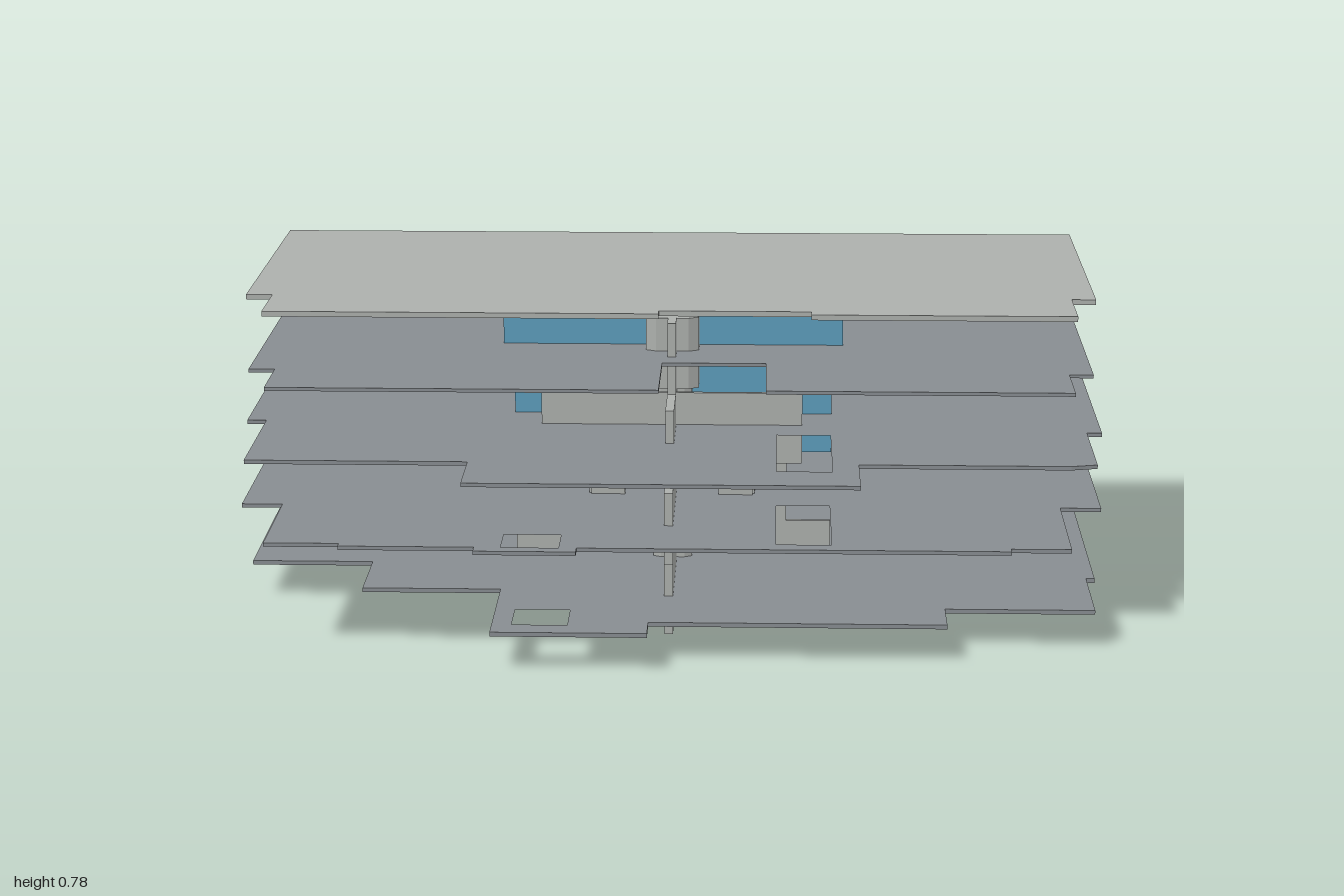
import * as THREE from 'three';

const material = (name, color) => {
  const m = new THREE.MeshStandardMaterial({ color });
  m.name = name;
  return m;
};

export function createModel() {
  const model = new THREE.Group();
  model.name = 'floorPlateBuilding';
  const wallGrey = material('wallGrey', 0xadb0ad);
  const slabGrey = material('slabGrey', 0x888d91);
  const glassBlue = material('glassBlue', 0x5d9dbb);

  const add = (name, geometry, mat, parent = model) => {
    const mesh = new THREE.Mesh(geometry, mat);
    mesh.name = name;
    parent.add(mesh);
    return mesh;
  };

  // Box given by its limits on each axis
  const block = (name, x0, x1, y0, y1, z0, z1, mat, parent) =>
    add(name, new THREE.BoxGeometry(x1 - x0, y1 - y0, z1 - z0), mat, parent)
      .position.set((x0 + x1) / 2, (y0 + y1) / 2, (z0 + z1) / 2);

  // Horizontal plate from an [x, z] outline with rectangular openings
  const toPoints = (list) => list.map(([x, z]) => new THREE.Vector2(x, -z));
  const plate = (name, y, depth, outline, openings, mat) => {
    const shape = new THREE.Shape(toPoints(outline));
    for (const [x0, x1, z0, z1] of openings)
      shape.holes.push(new THREE.Path(toPoints([[x0, z0], [x1, z0], [x1, z1], [x0, z1]])));
    const geometry = new THREE.ExtrudeGeometry(shape, { depth, bevelEnabled: false });
    geometry.rotateX(-Math.PI / 2);
    add(name, geometry, mat).position.y = y;
  };

  // Floor plates, from the lowest up
  const stairOpening = [0.245, 0.37, 0.2, 0.51];
  plate('firstFloorSlab', 0.082, 0.01, [
    [-0.995, -0.635], [0.99, -0.635], [0.99, 0.2], [0.97, 0.2], [0.97, 0.44], [0.63, 0.44],
    [0.63, 0.555], [-0.04, 0.555], [-0.04, 0.635], [-0.39, 0.635], [-0.39, 0.32],
    [-0.71, 0.32], [-0.71, 0.115], [-0.995, 0.115],
  ], [[-0.345, -0.22, 0.47, 0.58]], slabGrey);

  plate('secondFloorSlab', 0.254, 0.009, [
    [-0.98, -0.53], [-0.96, -0.53], [-0.96, -0.575], [-0.91, -0.575], [-0.91, -0.53],
    [-0.48, -0.53], [-0.48, -0.58], [-0.4, -0.58], [-0.4, -0.53],
    [0.4, -0.53], [0.4, -0.58], [0.48, -0.58], [0.48, -0.53],
    [0.91, -0.53], [0.91, -0.575], [0.96, -0.575], [0.96, -0.53], [0.98, -0.53],
    [0.98, -0.37], [1, -0.37], [1, 0.2], [0.905, 0.2], [0.905, 0.53], [0.77, 0.53],
    [0.77, 0.55], [-0.2, 0.55], [-0.2, 0.58], [-0.43, 0.58], [-0.43, 0.55], [-0.735, 0.55],
    [-0.735, 0.53], [-0.905, 0.53], [-0.905, 0.22], [-1, 0.22], [-1, -0.37], [-0.98, -0.37],
  ], [stairOpening, [-0.37, -0.24, 0.45, 0.55]], slabGrey);

  plate('thirdFloorSlab', 0.424, 0.009, [
    [-1, -0.545], [-0.475, -0.545], [-0.475, -0.565], [-0.46, -0.565], [-0.46, -0.625],
    [-0.43, -0.625], [-0.43, -0.565], [-0.39, -0.565], [-0.36, -0.545],
    [0.34, -0.545], [0.36, -0.565], [0.41, -0.565], [0.41, -0.625], [0.44, -0.625],
    [0.44, -0.565], [0.47, -0.565], [0.47, -0.545], [1, -0.545], [1, 0.16], [0.965, 0.16],
    [0.965, 0.435], [0.905, 0.45], [0.43, 0.45], [0.43, 0.625], [-0.45, 0.625],
    [-0.45, 0.45], [-0.955, 0.45], [-0.955, 0.1], [-1, 0.1],
  ], [stairOpening], slabGrey);

  const backHalf = [[-0.905, 0.445], [-0.905, 0.275], [-0.965, 0.275], [-0.965, -0.45],
    [0.965, -0.45], [0.965, 0.275], [0.91, 0.275], [0.91, 0.445]];
  plate('fourthFloorSlab', 0.593, 0.008,
    [...backHalf, [0.22, 0.445], [0.22, 0.19], [-0.02, 0.19], [-0.02, 0.445]], [], slabGrey);
  plate('roofSlab', 0.764, 0.012,
    [...backHalf, [0.32, 0.445], [0.32, 0.415], [-0.02, 0.415], [-0.02, 0.445]], [], wallGrey);

  // Cross-shaped walls around an eight-sided core on every level
  const levels = [
    { x: 0.375, front: 0.36, back: 0.36, mat: wallGrey, core: 1 },
    { x: 0.27, front: 0.37, back: 0.335, mat: wallGrey, core: 1 },
    { x: 0.375, front: 0.28, back: 0.27, mat: glassBlue, core: 1 },
    { x: 0.4, front: 0.13, back: 0.13, mat: glassBlue, core: 1.35 },
  ];
  levels.forEach(({ x, front, back, mat, core }, i) => {
    const group = new THREE.Group();
    group.name = `coreWallsLevel${i + 1}`;
    model.add(group);
    const y0 = i * 0.17, y1 = y0 + 0.17, a = 0.045 * core, b = 0.05 * core;
    block('leftWall', a, x, y0, y1, -0.005, 0.005, mat, group);
    block('rightWall', -x, -a, y0, y1, -0.005, 0.005, mat, group);
    block('frontWall', -0.01, 0.01, y0, y1, b, front, wallGrey, group);
    block('backWall', -0.01, 0.01, y0, y1, -back, -b, wallGrey, group);
    const ring = [[0.028, 0.055], [0.046, 0.045], [0.046, -0.045], [0.028, -0.055],
      [-0.028, -0.055], [-0.046, -0.045], [-0.046, 0.045], [-0.028, 0.055]];
    const shape = new THREE.Shape(toPoints(ring.map(([px, pz]) => [px * core, pz * core])));
    const shaft = new THREE.ExtrudeGeometry(shape, { depth: 0.17, bevelEnabled: false });
    shaft.rotateX(-Math.PI / 2);
    add('coreShaft', shaft, wallGrey, group).position.y = y0;
  });

  // Partitions of the second and third levels
  block('backPier', -0.01, 0.01, 0.17, 0.34, -0.367, -0.35, wallGrey);
  for (const side of [-1, 1]) {
    const x = side * 0.19;
    block('sidePartition', x - 0.005, x + 0.005, 0.17, 0.34, -0.1, 0.1, wallGrey);
    block('frontPartition', side * 0.15 - 0.04, side * 0.15 + 0.04, 0.17, 0.34, 0.1, 0.11, wallGrey);
  }
  block('frontScreen', -0.305, 0.305, 0.34, 0.51, 0.1, 0.11, wallGrey);
  block('backScreen', -0.305, 0.305, 0.34, 0.51, -0.19, -0.18, wallGrey);
  for (let i = 0; i < 7; i++) {
    const x = -0.24 + i * 0.08;
    block('screenRib', x - 0.006, x + 0.006, 0.34, 0.51, -0.2, -0.19, wallGrey);
  }

  // Stair flights, each a row of stepped treads
  const stairs = (name, x, z0, y0, z1, y1, count) => {
    const flight = new THREE.Group();
    flight.name = name;
    model.add(flight);
    const dz = (z1 - z0) / count, dy = (y1 - y0) / count;
    for (let i = 0; i < count; i++) {
      const za = z0 + i * dz, zb = za + dz;
      block('step', x - 0.02, x + 0.02, y0 + (i - 0.6) * dy, y0 + (i + 1) * dy,
        Math.min(za, zb), Math.max(za, zb), wallGrey, flight);
    }
  };
  stairs('lowerFrontStairs', 0.075, 0.16, 0.17, 0.05, 0.22, 5);
  stairs('lowerBackStairs', 0.075, -0.16, 0.17, -0.1, 0.215, 4);
  stairs('middleStairs', 0.075, -0.04, 0.26, -0.16, 0.34, 7);
  stairs('upperStairs', 0.075, 0.16, 0.345, -0.13, 0.52, 13);

  return model;
}
